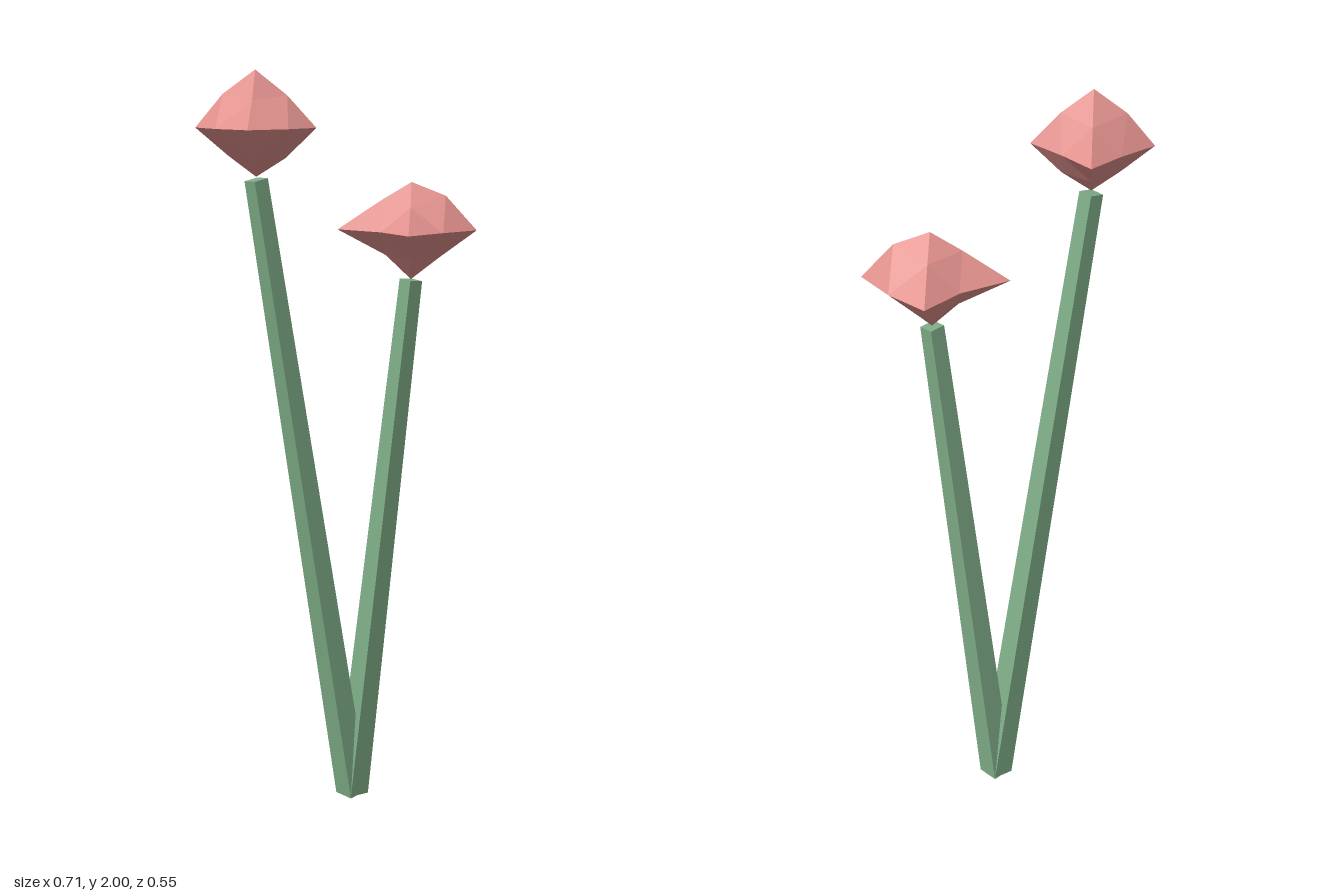
import * as THREE from 'three';

const green = new THREE.MeshStandardMaterial({ color: 0x7fae88, flatShading: true });
const pink = new THREE.MeshStandardMaterial({ color: 0xe0908c, flatShading: true });

// Both stems grow from this point
const root = new THREE.Vector3(0.027, 0.006, -0.102);

// Reach of each blossom corner along its axes.
// l/r = +x/-x, u/d = +y/-y, f/b = +z/-z; two letters mark a corner between two axes.
const flowers = [
  {
    name: 'tall', stemTop: [-0.203, 1.728, 0.108], heart: [-0.203, 1.857, 0.107],
    reach: {
      l: 0.153, r: 0.153, u: 0.143, d: 0.122, f: 0.165, b: 0.152,
      lf: 0.092, rf: 0.089, lb: 0.073, rb: 0.072,
      lu: 0.08, ru: 0.083, ld: 0.075, rd: 0.07,
      uf: 0.069, ub: 0.071, df: 0.077, db: 0.069,
    },
  },
  {
    name: 'short', stemTop: [0.181, 1.453, -0.101], heart: [0.181, 1.585, -0.102],
    reach: {
      l: 0.172, r: 0.195, u: 0.125, d: 0.13, f: 0.183, b: 0.171,
      lf: 0.086, rf: 0.077, lb: 0.094, rb: 0.076,
      lu: 0.09, ru: 0.078, ld: 0.073, rd: 0.067,
      uf: 0.063, ub: 0.074, df: 0.07, db: 0.08,
    },
  },
];

// Tapered four-sided stem, square to its own direction
function makeStem(top) {
  const dir = top.clone().sub(root);
  const stem = new THREE.Mesh(new THREE.CylinderGeometry(0.03, 0.045, dir.length(), 4), green);
  stem.position.copy(root).addScaledVector(dir, 0.5);
  stem.quaternion.setFromUnitVectors(new THREE.Vector3(0, 1, 0), dir.normalize());
  return stem;
}

// Once-divided octahedron whose corners are pushed in or out
function makeBlossom(reach) {
  const geo = new THREE.OctahedronGeometry(1, 1);
  const pos = geo.attributes.position;
  const sign = (v) => (Math.abs(v) < 0.1 ? 0 : Math.sign(v));
  const letter = (s, plus, minus) => (s > 0 ? plus : s < 0 ? minus : '');
  for (let i = 0; i < pos.count; i++) {
    const x = sign(pos.getX(i)), y = sign(pos.getY(i)), z = sign(pos.getZ(i));
    const r = reach[letter(x, 'l', 'r') + letter(y, 'u', 'd') + letter(z, 'f', 'b')];
    pos.setXYZ(i, x * r, y * r, z * r);
  }
  geo.computeVertexNormals();
  return new THREE.Mesh(geo, pink);
}

export function createModel() {
  const model = new THREE.Group();
  model.name = 'flowerPair';
  for (const { name, stemTop, heart, reach } of flowers) {
    const flower = new THREE.Group();
    flower.name = `${name}Flower`;
    const stem = makeStem(new THREE.Vector3(...stemTop));
    stem.name = `${name}Stem`;
    const blossom = makeBlossom(reach);
    blossom.name = `${name}Blossom`;
    blossom.position.set(...heart);
    flower.add(stem, blossom);
    model.add(flower);
  }
  return model;
}
